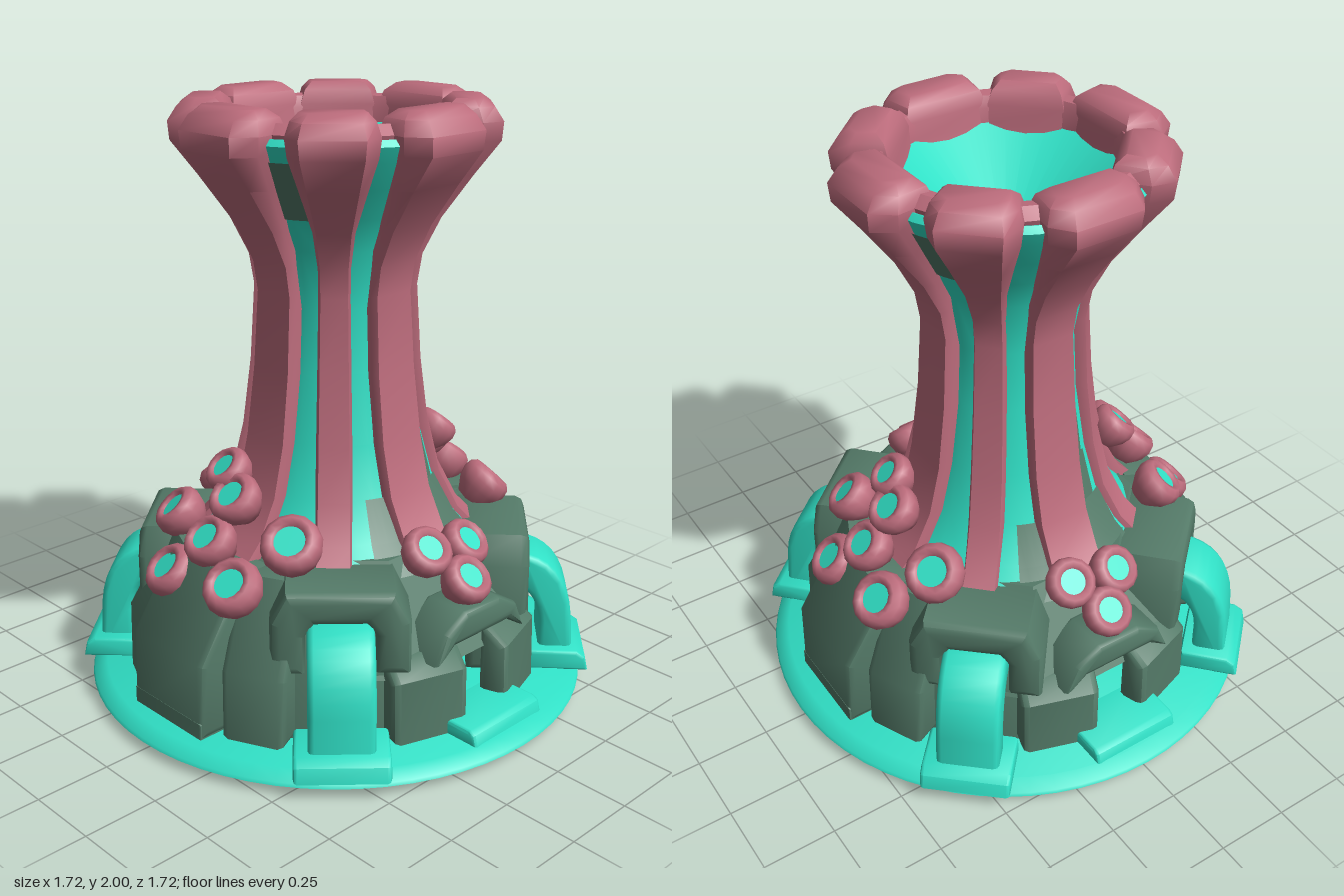
import * as THREE from 'three';
import { toCreasedNormals } from 'three/addons/utils/BufferGeometryUtils.js';

const mat = (name, color, side = THREE.FrontSide) => {
  const m = new THREE.MeshStandardMaterial({ color, side });
  m.name = name;
  return m;
};

export function createModel() {
  const model = new THREE.Group();
  model.name = 'reefTower';
  const teal = mat('teal water', 0x30e0c6, THREE.DoubleSide);
  const deep = mat('deep teal underside', 0x249a88);
  const pink = mat('pink coral', 0xbc6c7c);
  const green = mat('green stone', 0x547a68);

  const add = (name, geo, material, crease = 0.7, parent = model) => {
    const mesh = new THREE.Mesh(toCreasedNormals(geo, crease), material);
    mesh.name = name;
    parent.add(mesh);
    return mesh;
  };
  const vec = (pts) => pts.map(([x, y]) => new THREE.Vector2(x, y));
  const lathe = (pts, segments, start, sweep) => new THREE.LatheGeometry(vec(pts), segments, start, sweep);

  // Bevelled extrusion, centred across its depth
  const slab = (shape, depth, b) => {
    const g = new THREE.ExtrudeGeometry(shape, {
      depth: depth - 2 * b, bevelEnabled: true, bevelThickness: b, bevelSize: b,
      bevelOffset: -b, bevelSegments: 2, curveSegments: 8,
    });
    return g.translate(0, 0, b - depth / 2);
  };
  // Profile drawn in (radius, height), extruded sideways and turned to an angle from +x to +z
  const radial = (name, shape, width, angle, material, bevel = 0.025) => {
    add(name, slab(shape, width, bevel), material, 0.8).rotation.y = -angle;
  };
  // Profile drawn in (sideways, height), extruded outward between two radii
  const arch = (name, pts, r0, r1, angle, material, bevel = 0.03) => {
    const g = slab(new THREE.Shape(vec(pts)), r1 - r0, bevel).translate(0, 0, (r0 + r1) / 2);
    add(name, g, material, 0.8).rotation.y = Math.PI / 2 - angle;
  };

  // Water disc with a darker toothed patch underneath
  add('waterDisc', lathe([[0, 0.052], [0.6, 0.05], [0.86, 0.03], [0.855, 0.04], [0.81, 0.065], [0, 0.07]], 64), teal);
  const star = [];
  for (let i = 0; i < 12; i++) {
    for (const [offset, r] of [[-0.2, 0.65], [0.2, 0.65], [0.22, 0.57], [0.3, 0.57]]) {
      const a = i * Math.PI / 6 + offset;
      star.push([r * Math.cos(a), r * Math.sin(a)]);
    }
  }
  add('discUnderside', new THREE.ShapeGeometry(new THREE.Shape(vec(star))).rotateX(Math.PI / 2).translate(0, 0.042, 0), deep);

  // Stone core, open underneath for the tunnel
  const core = new THREE.CylinderGeometry(0.46, 0.68, 0.315, 8, 1, false, Math.PI / 8);
  add('stoneCore', core.translate(0, 0.4275, 0), green, 0.4);

  // Ring of stone blocks
  const block = (angle, width, rIn, rOut, rTop, yMid, y1) => {
    const shape = new THREE.Shape(vec([[rIn, 0.066], [rOut, 0.066], [rOut - 0.005, yMid], [rTop, y1], [rIn, y1]]));
    radial('stoneBlock', shape, width, angle, green);
  };
  const foot = new THREE.Shape(vec([[0.64, 0.015], [0.757, 0], [0.757, 0.12], [0.64, 0.12]]));
  const diagonal = Math.atan2(0.565, 0.52);
  const spoutAngles = [diagonal, Math.PI - diagonal, Math.PI + diagonal, -diagonal];
  for (const base of [0, Math.PI]) {
    block(base, 0.36, 0.45, 0.757, 0.59, 0.32, 0.57);
    radial('blockFoot', foot, 0.34, base, green, 0.005);
    for (const s of [-1, 1]) {
      block(base + s * 0.43, 0.22, 0.42, 0.72, 0.56, 0.3, 0.57);
      block(base + Math.PI / 2 + s * 0.318, 0.27, 0.6, 0.7, 0.63, 0.28, 0.335);
    }
    // Brow over the tunnel mouth and the pool in front of it
    const front = base + Math.PI / 2;
    arch('tunnelBrow', [[-0.21, 0.31], [-0.13, 0.36], [0.13, 0.36], [0.21, 0.31], [0.17, 0.41],
      [0.08, 0.46], [-0.08, 0.46], [-0.17, 0.41]], 0.5, 0.68, front, green, 0.02);
    const pool = new THREE.Shape(vec([[0.6, 0.06], [0.8, 0.06], [0.79, 0.1], [0.77, 0.112], [0.6, 0.112]]));
    radial('tunnelPool', pool, 0.33, front, teal, 0.012);
  }

  // Four spouts, each under a stone collar
  const spout = new THREE.Shape();
  spout.moveTo(0.45, 0.36);
  spout.lineTo(0.6, 0.36);
  spout.quadraticCurveTo(0.7, 0.34, 0.71, 0.22);
  spout.lineTo(0.71, 0.07);
  spout.lineTo(0.83, 0.07);
  spout.lineTo(0.82, 0.24);
  spout.quadraticCurveTo(0.8, 0.46, 0.62, 0.475);
  spout.lineTo(0.45, 0.475);
  const splash = new THREE.Shape(vec([[0.67, 0.06], [0.88, 0.06], [0.87, 0.11], [0.84, 0.13], [0.68, 0.13]]));
  for (const a of spoutAngles) {
    block(a, 0.36, 0.46, 0.63, 0.58, 0.3, 0.42);
    radial('waterSpout', spout, 0.21, a, teal, 0.02);
    radial('spoutSplash', splash, 0.3, a, teal, 0.012);
    arch('spoutCollar', [[-0.22, 0.3], [-0.11, 0.3], [-0.11, 0.43], [-0.08, 0.47], [0.08, 0.47], [0.11, 0.43],
      [0.11, 0.3], [0.22, 0.3], [0.22, 0.48], [0.17, 0.575], [-0.17, 0.575], [-0.22, 0.48]], 0.4, 0.66, a, green);
  }

  // Teal shaft with a shallow bowl at its top
  const shaft = [[0.48, 0.53], [0.4, 0.62], [0.33, 0.75], [0.285, 0.92], [0.25, 1.15], [0.238, 1.36],
    [0.27, 1.55], [0.325, 1.66], [0.385, 1.76], [0.44, 1.85], [0.465, 1.9]];
  add('towerShaft', lathe([...shaft, [0.45, 1.92], [0.36, 1.88], [0, 1.58]], 32), teal, 0.9);

  // Stone showing through the shaft in thin patches: first and last row, start angle from +z, sweep
  const patches = [[0, 2, 0.2, 0.4], [0, 2, -0.48, 0.28], [2, 3, 0.28, 0.21], [3, 5, 0.28, 0.17],
    [7, 9, Math.PI / 2 + 0.25, 0.3], [8, 9, Math.PI / 2 - 0.5, 0.14]];
  for (const turn of [0, Math.PI]) {
    for (const [first, last, start, sweep] of patches) {
      const pts = shaft.slice(first, last + 1).map(([r, y]) => [r + 0.006, y]);
      add('stonePatch', lathe(pts, 4, start + turn, sweep), green);
    }
  }

  // Pink lip joining the ribs round the bowl
  add('towerLip', lathe([[0.35, 1.84], [0.43, 1.88], [0.445, 1.93], [0.41, 1.96], [0.37, 1.955], [0.352, 1.92], [0.35, 1.84]], 24), pink);

  // Eight ribs lofted through rows of height, inner radius, outer radius, half width
  const rows = [[0.53, 0.36, 0.52, 0.105], [0.62, 0.32, 0.43, 0.1], [0.75, 0.28, 0.362, 0.097], [0.92, 0.25, 0.32, 0.094],
    [1.15, 0.22, 0.29, 0.088], [1.4, 0.2, 0.274, 0.082], [1.5, 0.21, 0.29, 0.084], [1.62, 0.25, 0.35, 0.098],
    [1.76, 0.31, 0.45, 0.132], [1.87, 0.335, 0.535, 0.16], [1.93, 0.34, 0.54, 0.168], [1.975, 0.355, 0.51, 0.15],
    [2.0, 0.385, 0.475, 0.12]];
  const makeRib = (stemWidth, topWidth, face) => {
    const position = [];
    const index = [];
    for (const [y, rIn, rOut, half] of rows) {
      const top = THREE.MathUtils.smoothstep(y, 1.5, 1.9);
      const w = half * THREE.MathUtils.lerp(stemWidth, topWidth, top);
      const f = THREE.MathUtils.lerp(face, 0.7, top);
      const mid = rIn + (rOut - rIn) * 0.65;
      for (const [r, s] of [[rIn, 0.88], [mid, 1], [rOut, f], [rOut, -f], [mid, -1], [rIn, -0.88]]) {
        position.push(s * w, y, r);
      }
    }
    for (let i = 0; i < rows.length - 1; i++) {
      for (let j = 0; j < 6; j++) {
        const a = i * 6 + j, b = i * 6 + (j + 1) % 6;
        index.push(a, a + 6, b, b, a + 6, b + 6);
      }
    }
    const cap = (rows.length - 1) * 6;
    for (let j = 1; j < 5; j++) index.push(cap, cap + j + 1, cap + j);
    const rib = new THREE.BufferGeometry();
    rib.setAttribute('position', new THREE.Float32BufferAttribute(position, 3));
    return rib.setIndex(index);
  };
  const ribs = [makeRib(1, 1, 0.92), makeRib(0.62, 0.84, 0.85)];
  for (let i = 0; i < 8; i++) {
    const mesh = add('towerRib', ribs[i % 2], pink, 0.85);
    mesh.rotation.y = i * Math.PI / 4;
    mesh.scale.z = i % 4 === 2 ? 1 : 0.97;
  }

  // Coral cups with teal mouths, repeated by a half turn
  const cup = lathe([[0, -0.09], [0.05, -0.08], [0.08, -0.035], [0.09, 0], [0.085, 0.028], [0.068, 0.045],
    [0.05, 0.043], [0.04, 0.02]], 14);
  const mouth = new THREE.CircleGeometry(0.046, 14).rotateX(-Math.PI / 2).translate(0, 0.033, 0);
  const spots = [[0.4, 0.81, 0.09, 0.9], [0.45, 0.75, 0, 1], [0.47, 0.63, 0.27, 1], [0.55, 0.63, 0.01, 1],
    [0.46, 0.68, -0.28, 1.12], [0.61, 0.5, 0.14, 1.05], [0.6, 0.54, -0.16, 1.1],
    [-0.08, 0.61, 0.5, 0.95], [0.09, 0.59, 0.51, 0.95], [0, 0.52, 0.6, 0.95]];
  for (const turn of [1, -1]) {
    for (const [x, y, z, size] of spots) {
      const coral = new THREE.Group();
      coral.name = 'coralCup';
      add('cupWall', cup, pink, 1.2, coral);
      add('cupMouth', mouth, teal, 1, coral);
      coral.position.set(x * turn, y, z * turn);
      coral.scale.setScalar(size);
      const out = new THREE.Vector3(x * turn, 0, z * turn).normalize();
      out.y = 1.1;
      coral.quaternion.setFromUnitVectors(new THREE.Vector3(0, 1, 0), out.normalize());
      model.add(coral);
    }
  }
  return model;
}
